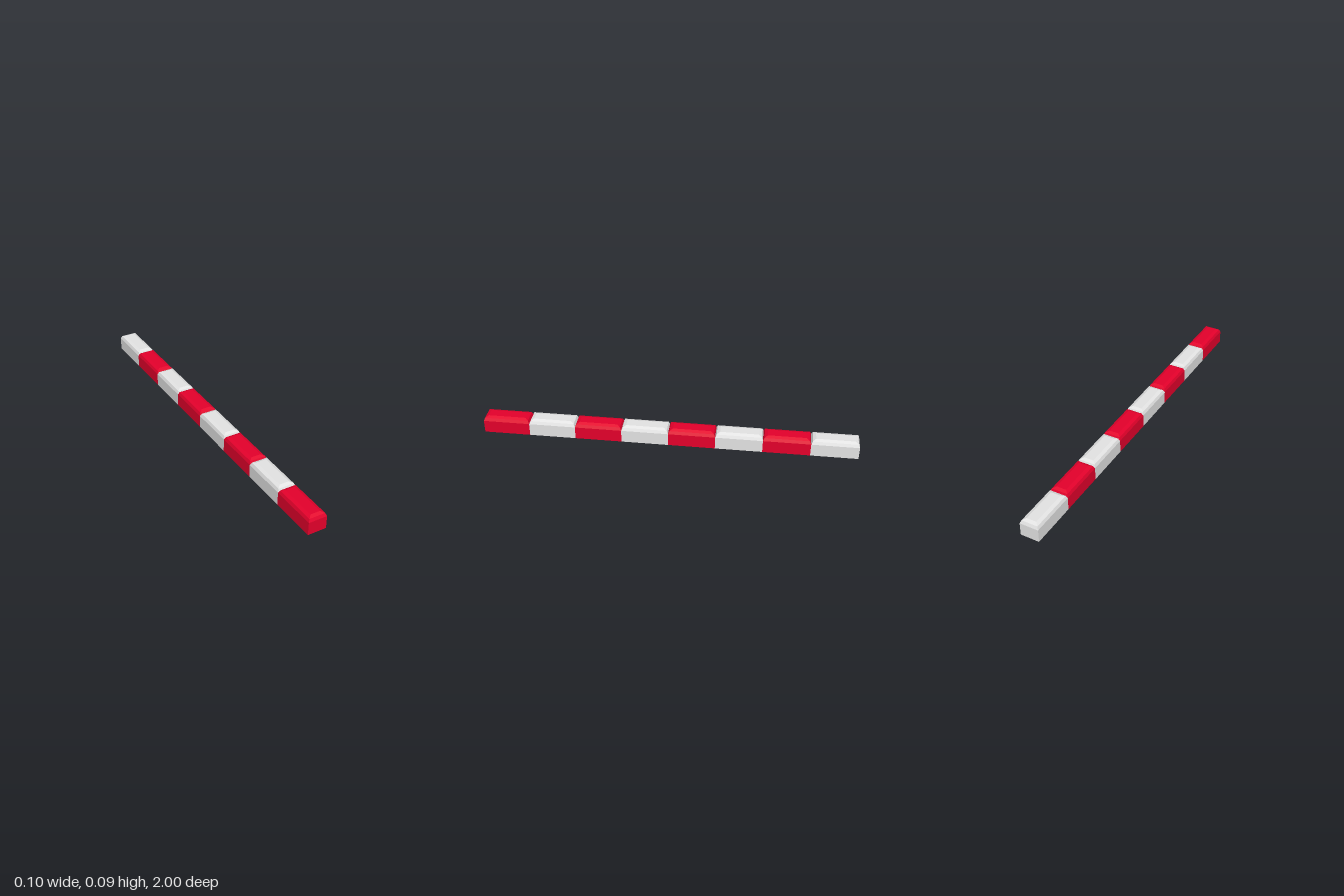
import * as THREE from 'three';

const WIDTH = 0.1, LENGTH = 0.25, COUNT = 8;
// Height and inset of each ring of a block, from the ground up
const RINGS = [[0, 0], [0.07, 0], [0.086, 0.007], [0.093, 0.024]];

// Block with a two-step bevel around its top
function blockGeometry() {
  const steps = RINGS.length - 1;
  const box = new THREE.BoxGeometry(WIDTH, steps, LENGTH, 1, steps, 1);
  const p = box.attributes.position;
  for (let i = 0; i < p.count; i++) {
    const [y, inset] = RINGS[Math.round(p.getY(i) + steps / 2)];
    p.setXYZ(i,
      Math.sign(p.getX(i)) * (WIDTH / 2 - inset),
      y,
      Math.sign(p.getZ(i)) * (LENGTH / 2 - inset));
  }
  const geometry = box.toNonIndexed();
  geometry.computeVertexNormals();
  return geometry;
}

export function createModel() {
  const red = new THREE.MeshStandardMaterial({ color: 0xe4002b });
  red.name = 'red';
  const offWhite = new THREE.MeshStandardMaterial({ color: 0xe3e3e3 });
  offWhite.name = 'off-white';

  const kerb = new THREE.Group();
  kerb.name = 'kerb';
  const geometry = blockGeometry();

  // Alternating blocks, from front to back
  for (let i = 0; i < COUNT; i++) {
    const block = new THREE.Mesh(geometry, i % 2 ? offWhite : red);
    block.name = (i % 2 ? 'whiteBlock' : 'redBlock') + (Math.floor(i / 2) + 1);
    block.position.z = 1 - LENGTH * (i + 0.5);
    kerb.add(block);
  }
  return kerb;
}
